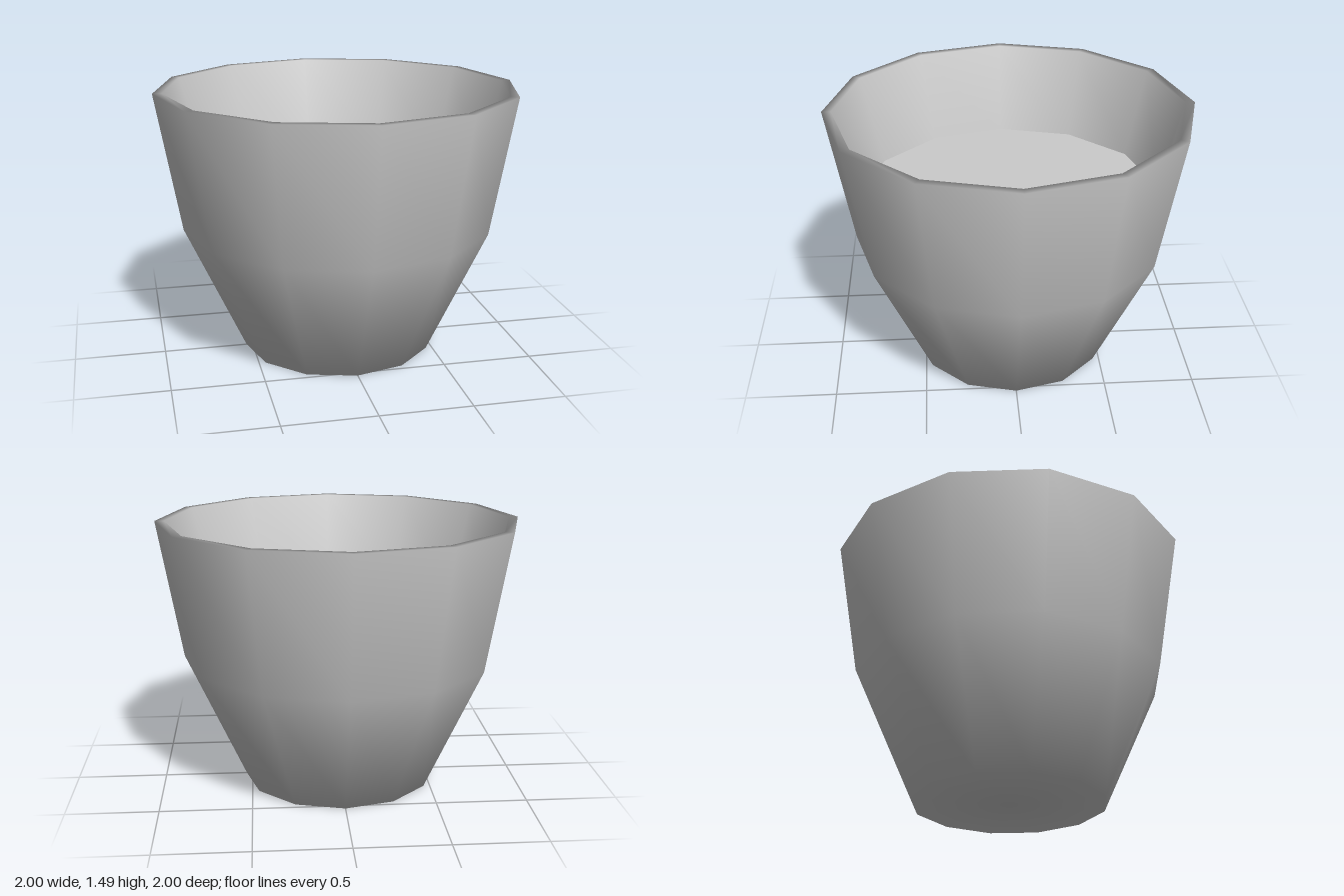
import * as THREE from 'three';

const SIDES = 12;

export function createModel() {
  const group = new THREE.Group();
  group.name = 'cup';
  const material = new THREE.MeshStandardMaterial({ color: 0xcccccc });

  // Cup wall: underside, outer wall, thin rim, inner wall and floor in one smooth turned profile
  const profile = [
    [0, 0], [0.535, 0], [0.866, 0.72], [1, 1.485],
    [0.95, 1.485], [0.82, 0.99], [0.75, 0.72], [0.46, 0.08], [0, 0.08],
  ].map(([r, y]) => new THREE.Vector2(r, y));
  const wall = new THREE.Mesh(new THREE.LatheGeometry(profile, SIDES), material);
  wall.name = 'cupWall';
  group.add(wall);

  // Flat surface of the contents, meeting the inner wall
  const fill = new THREE.Mesh(new THREE.CircleGeometry(0.82, SIDES), material);
  fill.name = 'fillSurface';
  fill.rotation.x = -Math.PI / 2;
  fill.position.y = 0.99;
  group.add(fill);

  return group;
}
